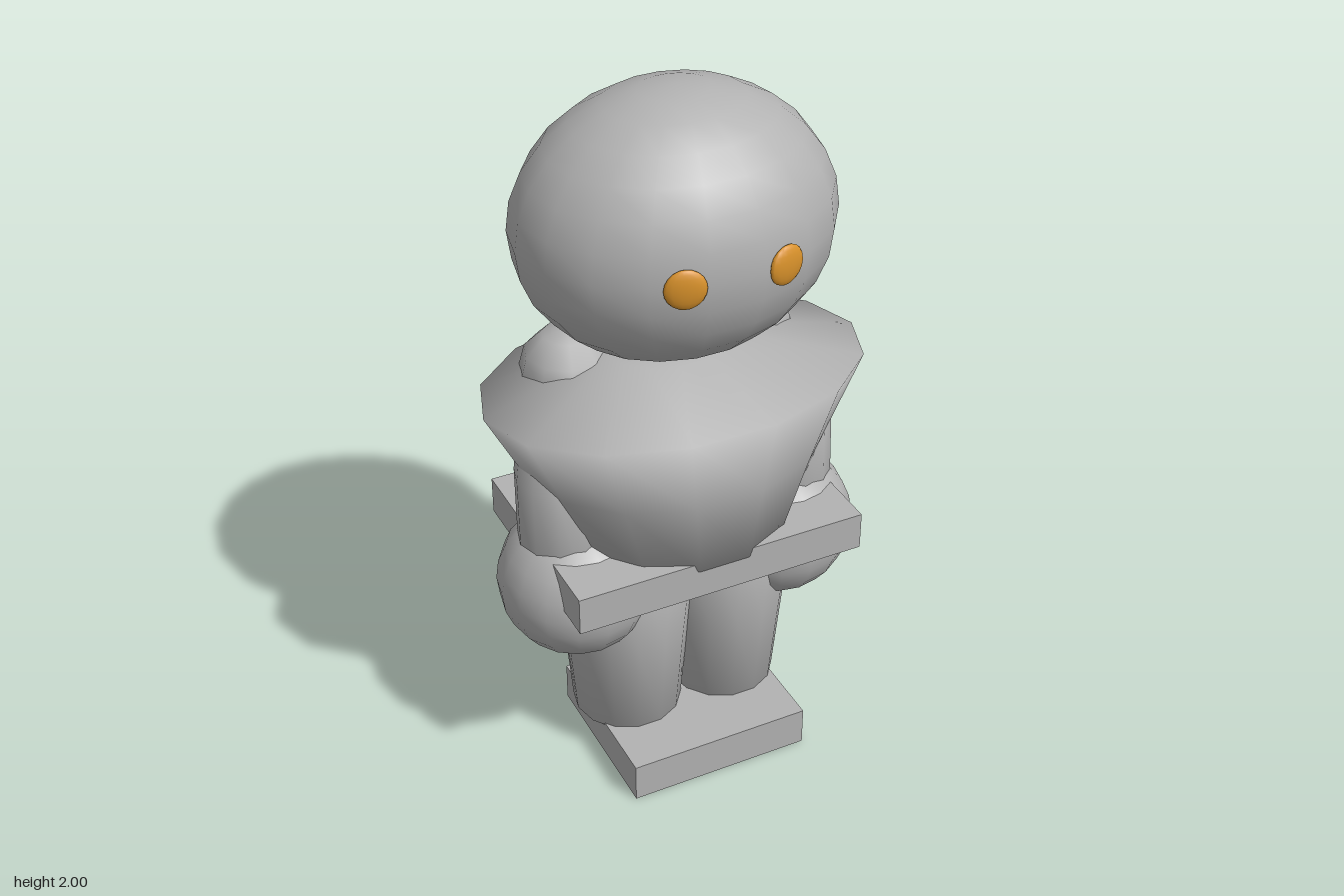
import * as THREE from 'three';
import { mergeVertices } from 'three/addons/utils/BufferGeometryUtils.js';

export function createModel() {
  const model = new THREE.Group();
  model.name = 'figure';
  const grey = new THREE.MeshStandardMaterial({ color: 0xb2b2b2 });
  grey.name = 'body grey';
  const amber = new THREE.MeshStandardMaterial({ color: 0xd9922b });
  amber.name = 'eye amber';

  function add(name, geometry, material, x = 0, y = 0, z = 0) {
    const mesh = new THREE.Mesh(geometry, material);
    mesh.name = name;
    mesh.position.set(x, y, z);
    model.add(mesh);
    return mesh;
  }

  // Smooth loft through elliptical rings given as [y, radiusX, radiusZ, centreX, centreZ]
  function loft(rings, sides) {
    const closed = [[...rings[0]], ...rings, [...rings.at(-1)]];
    const g = new THREE.LatheGeometry(
      closed.map(() => new THREE.Vector2(1, 0)), sides, Math.PI / 2);
    const p = g.attributes.position;
    for (let i = 0; i < p.count; i++) {
      const j = i % closed.length;
      const [y, rx, rz, cx = 0, cz = 0] = closed[j];
      const k = j === 0 || j === closed.length - 1 ? 0.0001 : 1; // end caps
      p.setXYZ(i, cx + p.getX(i) * rx * k, y, cz + p.getZ(i) * rz * k);
    }
    g.deleteAttribute('normal');
    g.deleteAttribute('uv');
    const smooth = mergeVertices(g, 1e-5);
    smooth.computeVertexNormals();
    return smooth;
  }

  // Head
  const head = new THREE.SphereGeometry(1, 18, 14);
  add('head', head, grey, 0, 1.638, 0).scale.set(0.432, 0.362, 0.356);

  // Flared torso with sloping shoulders
  add('torso', loft([
    [0.745, 0.325, 0.31],
    [0.97, 0.43, 0.335],
    [1.185, 0.54, 0.36],
    [1.28, 0.19, 0.13],
  ], 14), grey);

  // Belt slab
  add('belt', new THREE.BoxGeometry(0.84, 0.11, 0.6), grey, 0, 0.715, 0);

  for (const s of [1, -1]) {
    const side = s > 0 ? 'left' : 'right';

    // Eyes, turned to follow the head
    const eye = add(side + 'Eye', new THREE.SphereGeometry(1, 14, 10), amber, s * 0.136, 1.637, 0.336);
    eye.scale.set(0.054, 0.054, 0.016);
    eye.rotation.y = s * 0.28;

    // Shoulder, arm and round hand
    add(side + 'Shoulder', new THREE.SphereGeometry(0.135, 10, 6), grey, s * 0.26, 1.198, -0.1);
    add(side + 'Arm', loft([
      [0.66, 0.13, 0.13, s * 0.335, 0.02],
      [0.97, 0.135, 0.13, s * 0.328, 0.01],
      [1.2, 0.12, 0.12, s * 0.27, -0.09],
    ], 12), grey);
    add(side + 'Hand', new THREE.SphereGeometry(0.218, 16, 12), grey, s * 0.308, 0.62, 0.02);

    // Tapered leg and block foot
    add(side + 'Leg', loft([
      [0.11, 0.155, 0.16, s * 0.15, -0.008],
      [0.4, 0.178, 0.183, s * 0.152, -0.004],
      [0.72, 0.205, 0.215, s * 0.155, 0],
    ], 14), grey);
    add(side + 'Foot', new THREE.BoxGeometry(0.266, 0.116, 0.48), grey, s * 0.133, 0.058, 0.058);
  }
  return model;
}
